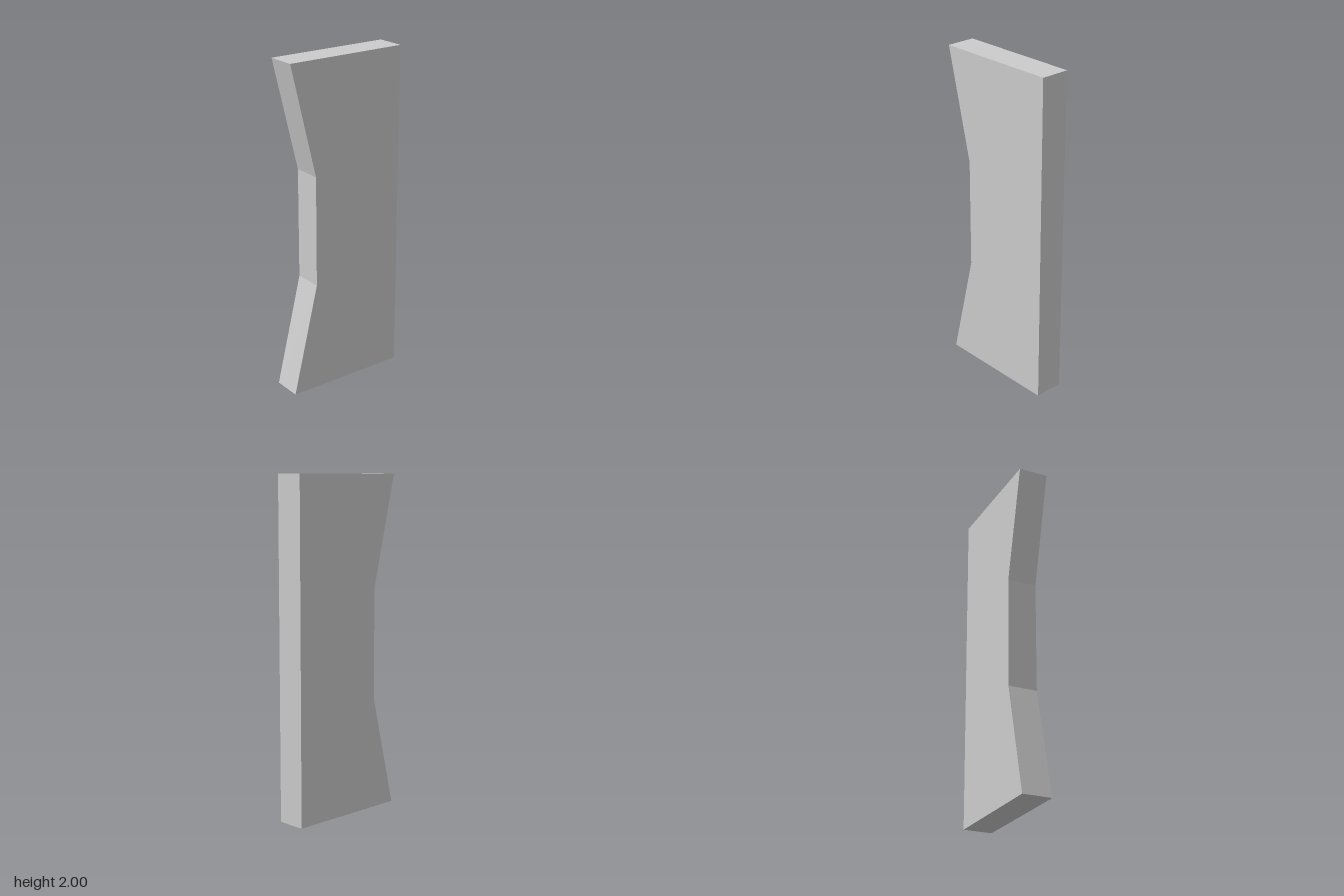
import * as THREE from 'three';

const WIDTH = 0.176;

export function createModel() {
  const group = new THREE.Group();
  group.name = 'waistedPanel';

  // Side profile as (z, y): straight back, front edge notched inward at mid height
  const profile = new THREE.Shape([
    [-0.378, 0], [0.378, 0], [0.216, 0.667], [0.216, 1.333], [0.378, 2], [-0.378, 2],
  ].map(([z, y]) => new THREE.Vector2(z, y)));

  // Extrude across the thickness, then turn the profile to face sideways
  const geometry = new THREE.ExtrudeGeometry(profile, { depth: WIDTH, bevelEnabled: false });
  geometry.translate(0, 0, -WIDTH / 2);
  geometry.rotateY(-Math.PI / 2);

  const material = new THREE.MeshStandardMaterial({ color: 0xcccccc, flatShading: true });
  const panel = new THREE.Mesh(geometry, material);
  panel.name = 'panel';
  group.add(panel);
  return group;
}
